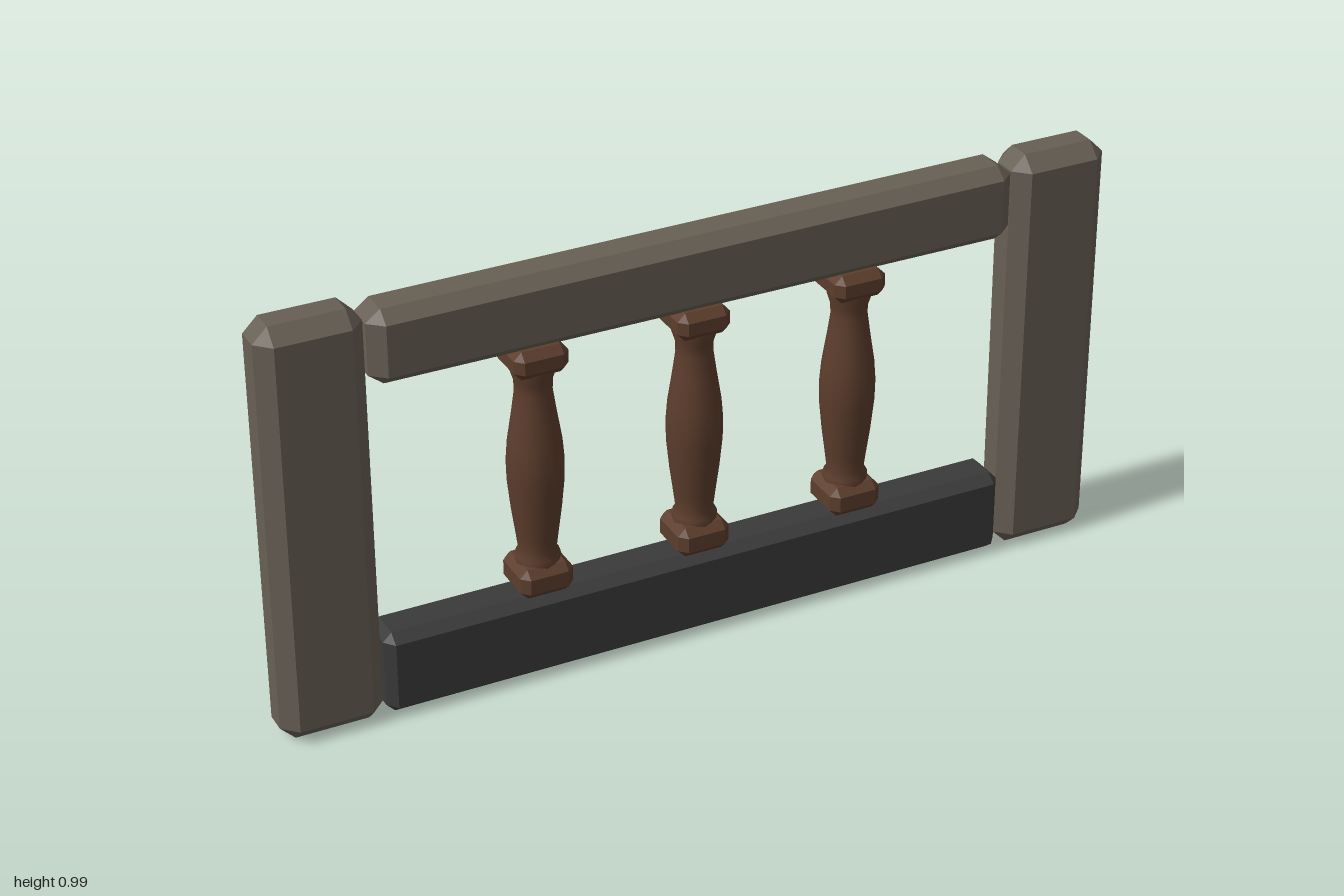
import * as THREE from 'three';
import { ConvexGeometry } from 'three/addons/geometries/ConvexGeometry.js';

const stone = new THREE.MeshStandardMaterial({ color: 0x675f54 });
stone.name = 'weathered stone';
const slate = new THREE.MeshStandardMaterial({ color: 0x3a3a3a });
slate.name = 'dark slate';
const wood = new THREE.MeshStandardMaterial({ color: 0x5c3d2c });
wood.name = 'brown wood';

// Box with every edge bevelled; bevel = inset along x, y, z.
// An optional bend rule nudges each corner for a hand-hewn look.
function hewnBlock(name, size, bevel, pos, material, bend) {
  const half = size.map((s) => s / 2);
  const points = [];
  for (const sx of [-1, 1]) for (const sy of [-1, 1]) for (const sz of [-1, 1]) {
    const s = [sx, sy, sz];
    for (let axis = 0; axis < 3; axis++) {
      const p = s.map((sign, i) => sign * (half[i] - (i === axis ? 0 : bevel[i])));
      const v = new THREE.Vector3(...p);
      if (bend) bend(v);
      points.push(v);
    }
  }
  const mesh = new THREE.Mesh(new ConvexGeometry(points), material);
  mesh.name = name;
  mesh.position.set(...pos);
  return mesh;
}

// Turned shaft: radius, height
const shaftProfile = [
  [0.050, 0.270], [0.050, 0.288], [0.042, 0.300], [0.047, 0.340], [0.055, 0.400],
  [0.062, 0.470], [0.063, 0.520], [0.059, 0.570], [0.048, 0.640], [0.041, 0.690],
  [0.042, 0.715], [0.050, 0.740], [0.050, 0.765],
].map(([r, y]) => new THREE.Vector2(r, y));

function baluster(x) {
  const group = new THREE.Group();
  group.name = 'baluster';
  const shaft = new THREE.Mesh(new THREE.LatheGeometry(shaftProfile, 16), wood);
  shaft.name = 'balusterShaft';
  group.add(
    shaft,
    hewnBlock('balusterBase', [0.125, 0.072, 0.125], [0.018, 0.018, 0.018], [0, 0.24, 0], wood),
    hewnBlock('balusterCap', [0.125, 0.066, 0.125], [0.018, 0.018, 0.018], [0, 0.776, 0], wood),
  );
  group.position.x = x;
  return group;
}

export function createModel() {
  const model = new THREE.Group();
  model.name = 'balustrade';

  // End posts, slightly thinner at the back of the foot
  for (const side of [-1, 1]) {
    model.add(hewnBlock(side > 0 ? 'leftPost' : 'rightPost',
      [0.236, 0.993, 0.123], [0.034, 0.034, 0.034], [side * 0.882, 0.4965, 0], stone,
      (v) => { if (v.y < 0 && v.z < 0) v.z += 0.005; }));
  }

  // Top rail rises a little towards one end
  model.add(hewnBlock('topRail', [1.52, 0.175, 0.123], [0.034, 0.026, 0.03], [0, 0.893, 0], stone,
    (v) => { if (v.y > 0) v.y += 0.005 * v.x; }));

  // Bottom rail
  model.add(hewnBlock('bottomRail', [1.52, 0.2, 0.12], [0.02, 0.02, 0.025], [0, 0.105, 0], slate));

  for (const x of [-0.38, 0, 0.38]) model.add(baluster(x));
  return model;
}
